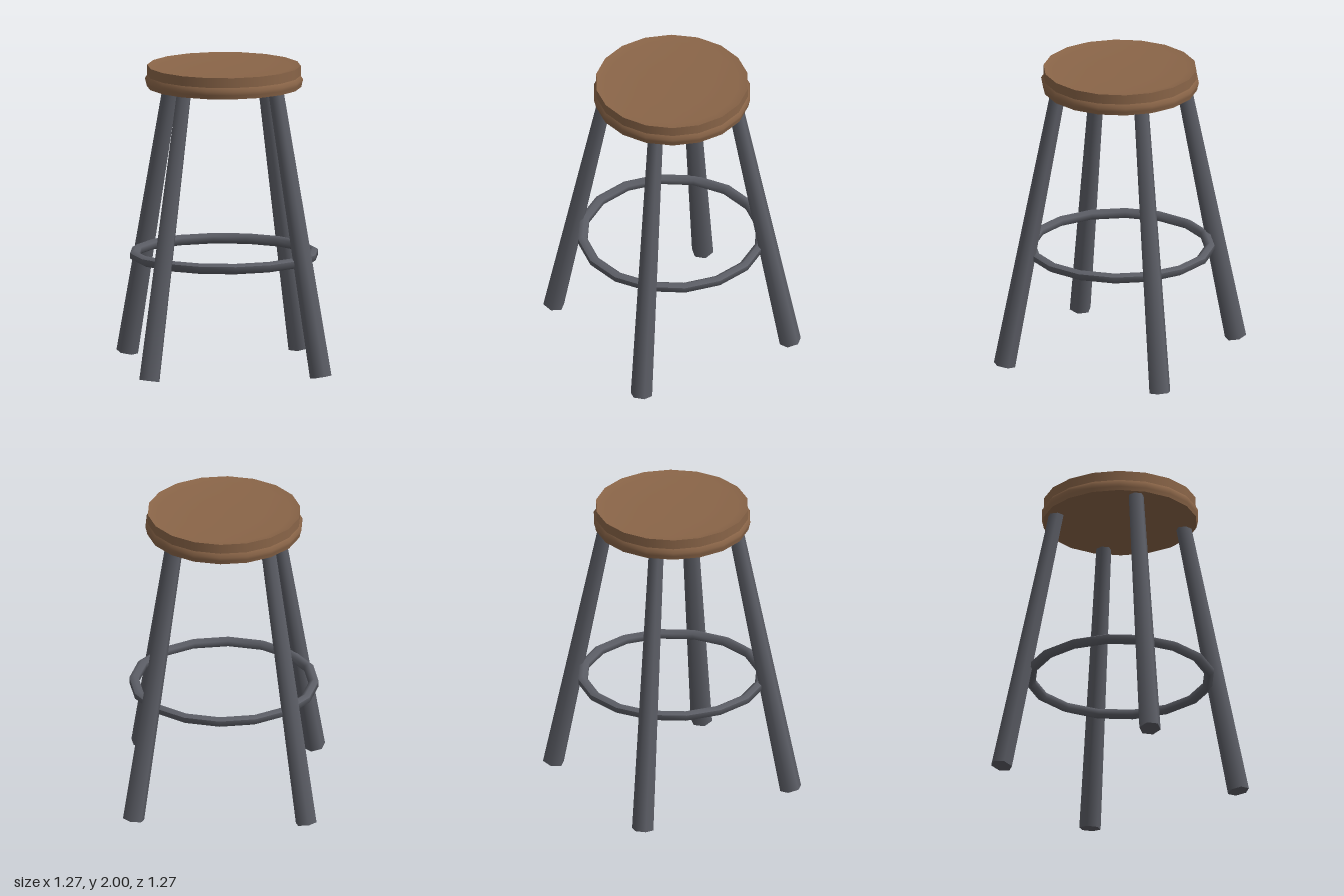
import * as THREE from 'three';

const wood = new THREE.MeshStandardMaterial({ color: 0x8a6548 });
const metal = new THREE.MeshStandardMaterial({ color: 0x5c5e66 });

// Turns a profile of [radius, height] points; list it bottom to top on the outside
function turned(name, points, sides, material) {
  const profile = points.map(([r, y]) => new THREE.Vector2(r, y));
  const mesh = new THREE.Mesh(new THREE.LatheGeometry(profile, sides), material);
  mesh.name = name;
  return mesh;
}

// Seat: separate bands keep the edges between them sharp
function createSeat() {
  const seat = new THREE.Group();
  seat.name = 'seat';
  const bands = {
    seatUnderside: [[0, 1.86], [0.507, 1.86]],
    seatBead: [[0.507, 1.86], [0.512, 1.885], [0.519, 1.91], [0.503, 1.935]],
    seatWall: [[0.503, 1.935], [0.503, 2]],
    seatTop: [[0.503, 2], [0.44, 1.988], [0.22, 1.982], [0, 1.98]],
  };
  for (const [name, points] of Object.entries(bands)) seat.add(turned(name, points, 18, wood));
  return seat;
}

// Tapered six-sided leg, leaning outward with a flat face outside
function createLeg(angle) {
  const bottom = new THREE.Vector3(0, 0.0125, 0.8);
  const top = new THREE.Vector3(0, 1.9, 0.424);
  const tilt = Math.atan2(bottom.z - top.z, top.y - bottom.y);
  const geometry = new THREE.CylinderGeometry(0.05, 0.072, bottom.distanceTo(top), 6, 1, false, Math.PI / 6);
  geometry.rotateX(-tilt);
  geometry.translate(0, (bottom.y + top.y) / 2, (bottom.z + top.z) / 2);
  geometry.rotateY(angle);
  const leg = new THREE.Mesh(geometry, metal);
  leg.name = 'leg';
  return leg;
}

// Foot ring: hexagonal tube, corners at top and bottom
function createFootRing() {
  const section = [];
  for (let i = 0; i <= 6; i++) {
    const a = Math.PI / 6 + (i * Math.PI) / 3;
    section.push([0.59 + 0.035 * Math.cos(a), 0.747 + 0.035 * Math.sin(a)]);
  }
  return turned('footRing', section, 16, metal);
}

export function createModel() {
  const stool = new THREE.Group();
  stool.name = 'stool';
  stool.add(createSeat(), createFootRing());
  for (let i = 0; i < 4; i++) stool.add(createLeg(Math.PI / 4 + (i * Math.PI) / 2));
  return stool;
}
